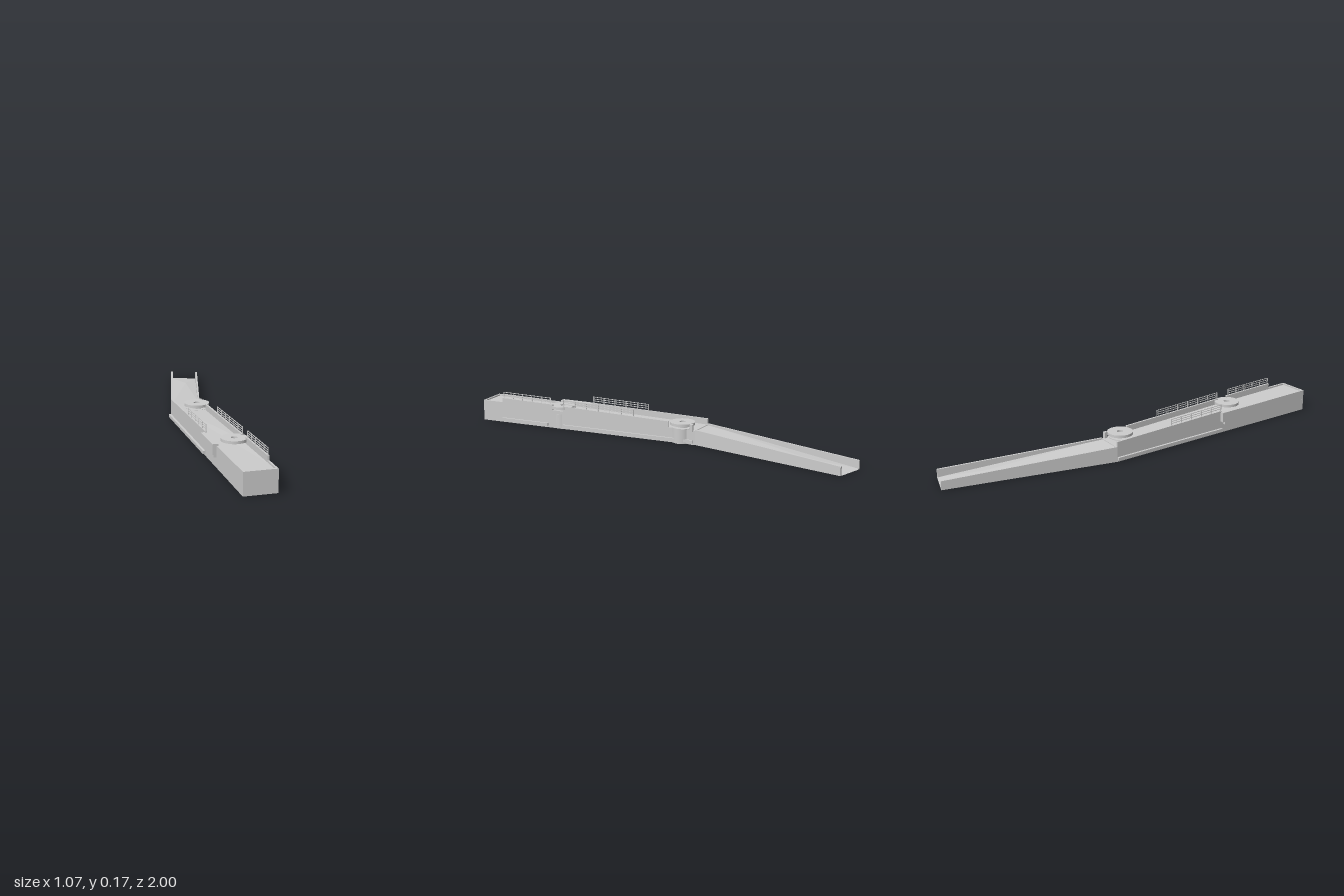
import * as THREE from 'three';

const grey = new THREE.MeshStandardMaterial({ color: 0xcccccc, side: THREE.DoubleSide });
grey.name = 'concrete grey';

function meshFrom(name, triangles) {
  const g = new THREE.BufferGeometry();
  g.setAttribute('position', new THREE.Float32BufferAttribute(triangles.flat(), 3));
  g.computeVertexNormals();
  const m = new THREE.Mesh(g, grey);
  m.name = name;
  return m;
}

// Upright block on a polygon; each corner is [x, z, bottom, top]
function slab(name, corners) {
  let area = 0;
  const n = corners.length;
  corners.forEach((a, i) => { const b = corners[(i + 1) % n]; area += a[0] * b[1] - b[0] * a[1]; });
  const c = area > 0 ? [...corners].reverse() : corners;
  const lo = c.map(([x, z, y]) => [x, y, z]);
  const hi = c.map(([x, z, , y]) => [x, y, z]);
  const tri = [];
  for (let i = 1; i < n - 1; i++) tri.push(hi[0], hi[i], hi[i + 1], lo[0], lo[i + 1], lo[i]);
  for (let i = 0; i < n; i++) {
    const j = (i + 1) % n;
    tri.push(lo[i], lo[j], hi[j], lo[i], hi[j], hi[i]);
  }
  return meshFrom(name, tri);
}

// Block along a line from a to b, between two offsets towards +x
function beam(name, a, b, from, to, ya, yb) {
  const dx = b[0] - a[0], dz = b[1] - a[1], l = Math.hypot(dx, dz);
  const at = (p, o, y) => [p[0] + dz / l * o, p[1] - dx / l * o, ...y];
  return slab(name, [at(a, from, ya), at(b, from, yb), at(b, to, yb), at(a, to, ya)]);
}

const onLine = (p, q) => z => {
  const t = (z - p[1]) / (q[1] - p[1]);
  return [p[0] + (q[0] - p[0]) * t, z];
};

// Plan corners
const farW = [-0.535, -0.97], farE = [-0.38, -1.0];
const bendW = [-0.27, -0.11], bendE = [-0.13, -0.18];
const endW = [0.395, 0.995], endE = [0.535, 0.91];
const west = onLine(bendW, endW), east = onLine(bendE, endE);
const WALL = 0.01;

// Handrail: three rails and evenly spaced posts
function railing(name, side, z0, z1, y0, y1, posts, offset) {
  const g = new THREE.Group();
  g.name = name;
  const h = 0.0015;
  for (const k of [0.012, 0.023, 0.034]) {
    g.add(beam('rail', side(z0), side(z1), offset - h, offset + h,
      [y0 + k - h, y0 + k + h], [y1 + k - h, y1 + k + h]));
  }
  for (let i = 0; i < posts; i++) {
    const t = i / (posts - 1), z = z0 + (z1 - z0 - 0.003) * t, y = y0 + (y1 - y0) * t;
    const span = [y - 0.005, y + 0.035];
    g.add(beam('post', side(z), side(z + 0.003), offset - h, offset + h, span, span));
  }
  return g;
}

// Round pier with a pierced disc on top
function pier(x, z, top) {
  const g = new THREE.Group();
  g.name = 'pier';
  g.position.set(x, 0, z);
  const column = new THREE.Mesh(new THREE.CylinderGeometry(0.057, 0.057, 0.08, 40), grey);
  column.name = 'column';
  column.position.y = 0.04;
  const core = new THREE.Mesh(new THREE.CylinderGeometry(0.03, 0.03, top - 0.09, 24), grey);
  core.name = 'core';
  core.position.y = 0.08 + (top - 0.09) / 2 - 0.002;
  const shape = new THREE.Shape().absarc(0, 0, 0.066, 0, Math.PI * 2, false);
  shape.holes.push(new THREE.Path().absarc(0, 0, 0.016, 0, Math.PI * 2, true));
  const disc = new THREE.Mesh(new THREE.ExtrudeGeometry(shape,
    { depth: 0.014, bevelEnabled: false, curveSegments: 40 }), grey);
  disc.name = 'disc';
  disc.rotation.x = -Math.PI / 2;
  disc.position.y = top - 0.014;
  g.add(column, core, disc);
  return g;
}

export function createModel() {
  const root = new THREE.Group();
  root.name = 'bentRamp';

  // Far ramp: sloping deck ending in a triangular dip, floor and side walls
  const p = ([x, z], y) => [x, y, z];
  const apex = [-0.387, 0.028, -0.78];
  const f0 = p(farW, 0.004), f1 = p(farE, 0.004), b0 = p(bendW, 0.072), b1 = p(bendE, 0.072);
  root.add(meshFrom('rampDeck', [f1, f0, apex, f0, b0, apex, b0, b1, apex, b1, f1, apex]));
  const g0 = p(farW, 0), g1 = p(farE, 0), g2 = p(bendE, 0), g3 = p(bendW, 0);
  root.add(meshFrom('rampFloor', [g0, g1, g2, g0, g2, g3]));
  root.add(beam('rampWallWest', farW, bendW, 0, WALL, [0, 0.046], [0, 0.08]));
  root.add(beam('rampWallEast', farE, bendE, -WALL, 0, [0, 0.046], [0, 0.08]));

  // Main deck
  root.add(slab('mainDeck', [[...bendW, 0, 0.075], [...west(0.5), 0, 0.098], [...endW, 0, 0.106],
    [...endE, 0, 0.106], [...east(0.5), 0, 0.098], [...bendE, 0, 0.075]]));
  root.add(beam('endWall', endW, endE, 0, WALL, [0, 0.113], [0, 0.113]));

  // Parapets: [start z, end z, start height, end height]
  for (const [z0, z1, h0, h1] of [[-0.11, 0.475, 0.107, 0.122], [0.475, 0.995, 0.106, 0.113]]) {
    root.add(beam('parapetWest', west(z0), west(z1), 0, WALL, [0, h0], [0, h1]));
  }
  for (const [z0, z1, h0, h1] of [[-0.05, 0.48, 0.11, 0.126], [0.535, 0.805, 0.13, 0.136], [0.805, 0.91, 0.112, 0.113]]) {
    root.add(beam('parapetEast', east(z0), east(z1), -WALL, 0, [0, h0], [0, h1]));
  }

  // Low kerbs outside the walls
  const kerb = [0.009, 0.025];
  root.add(beam('kerbWest', west(-0.11), west(0.475), -0.012, 0, kerb, kerb));
  root.add(beam('kerbEast', east(-0.17), east(0.48), 0, 0.01, kerb, kerb));
  root.add(beam('kerbEast', east(0.56), east(0.805), 0, 0.01, kerb, kerb));

  // Projecting bay and its ledge
  root.add(beam('bay', west(0.47), west(0.645), -0.02, 0.01, [0.064, 0.117], [0.066, 0.118]));
  root.add(beam('bayLedge', west(0.485), west(0.645), -0.016, 0, [0.048, 0.064], [0.052, 0.066]));

  // Handrails
  root.add(railing('railingWest', west, 0.185, 0.475, 0.114, 0.122, 6, 0.005));
  root.add(railing('railingEast', east, 0.12, 0.48, 0.115, 0.126, 7, -0.005));
  root.add(railing('railingEastFront', east, 0.545, 0.8, 0.13, 0.135, 6, -0.005));

  // Piers and the small post at the bend
  root.add(pier(-0.12, -0.085, 0.107), pier(0.24, 0.53, 0.121));
  root.add(beam('bendPost', east(-0.17), east(-0.155), -0.012, 0.004, [0, 0.107], [0, 0.107]));

  return root;
}
